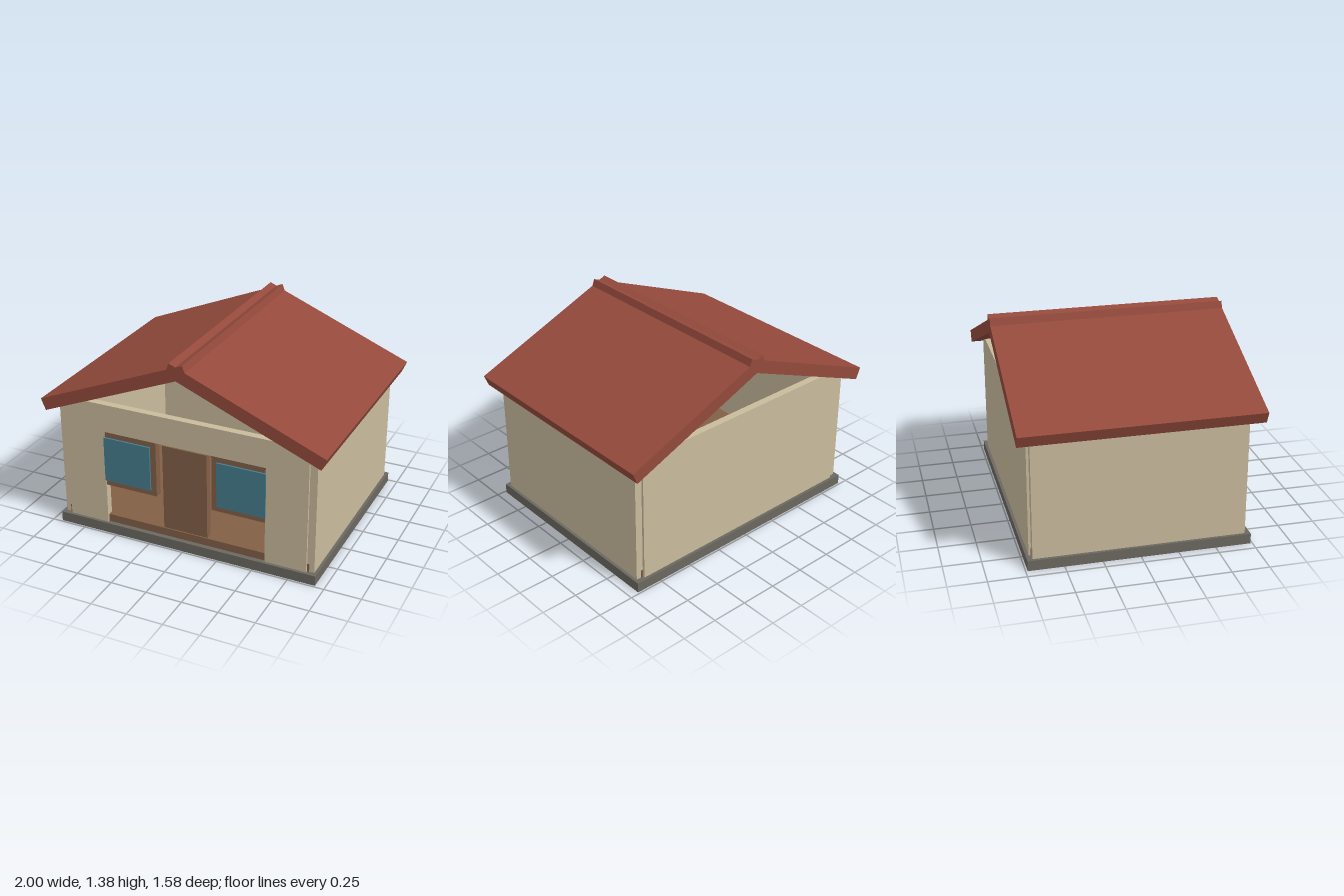
import * as THREE from 'three';

const mat = (name, color) => {
  const m = new THREE.MeshStandardMaterial({ color });
  m.name = name;
  return m;
};

export function createModel() {
  const house = new THREE.Group();
  house.name = 'house';
  const cream = mat('cream wall', 0xc9bb9c);
  const wood = mat('brown wood', 0x825f46);
  const glass = mat('blue glass', 0x457d8e);
  const red = mat('red roof', 0x944a3c);
  const stone = mat('grey stone', 0x6b6860);

  const add = (name, geometry, material) => {
    const mesh = new THREE.Mesh(geometry, material);
    mesh.name = name;
    house.add(mesh);
    return mesh;
  };
  // Box given by its lower and upper bounds
  const box = (name, material, [x0, y0, z0], [x1, y1, z1]) =>
    add(name, new THREE.BoxGeometry(x1 - x0, y1 - y0, z1 - z0)
      .translate((x0 + x1) / 2, (y0 + y1) / 2, (z0 + z1) / 2), material);
  const extrude = (points, depth, z) =>
    new THREE.ExtrudeGeometry(new THREE.Shape(points.map(p => new THREE.Vector2(...p))),
      { depth, bevelEnabled: false }).translate(0, 0, z);

  // Foundation and inner floor
  box('foundation', stone, [-0.935, 0, -0.737], [0.935, 0.07, 0.737]);
  box('floor', wood, [-0.88, 0.07, -0.704], [0.88, 0.125, 0.704]);

  // Front wall with one wide opening, plain back wall
  add('frontWall', extrude([[-0.865, 0.07], [-0.577, 0.07], [-0.577, 0.757], [0.577, 0.757],
    [0.577, 0.07], [0.865, 0.07], [0.865, 0.955], [-0.865, 0.955]], 0.05, 0.667), cream);
  box('backWall', cream, [-0.865, 0.07, -0.717], [0.865, 0.955, -0.667]);

  // Side walls and windows, mirrored
  for (const [side, s] of [['left', 1], ['right', -1]]) {
    const pair = (a, b) => (s > 0 ? [a, b] : [-b, -a]);
    const [w0, w1] = pair(0.865, 0.915);
    box(side + 'Wall', cream, [w0, 0.07, -0.701], [w1, 0.955, 0.701]);
    const [f0, f1] = pair(0.2, 0.62);
    box(side + 'WindowFrame', wood, [f0, 0.357, 0.655], [f1, 0.756, 0.71]);
    const [g0, g1] = pair(0.24, 0.58);
    box(side + 'WindowPane', glass, [g0, 0.396, 0.69], [g1, 0.716, 0.723]);
  }

  // Door standing on the floor
  box('door', wood, [-0.159, 0.12, 0.645], [0.159, 0.737, 0.695]);

  // Roof: two sloping slabs that cross at the ridge, as one outline
  const half = [[0, 1.264], [0.967, 0.868], [1, 0.946], [0.064, 1.33], [0.046, 1.376], [0, 1.357]];
  const mirrored = half.slice(1, -1).reverse().map(([x, y]) => [-x, y]);
  add('roof', extrude([...half, ...mirrored], 1.58, -0.79), red);

  return house;
}
